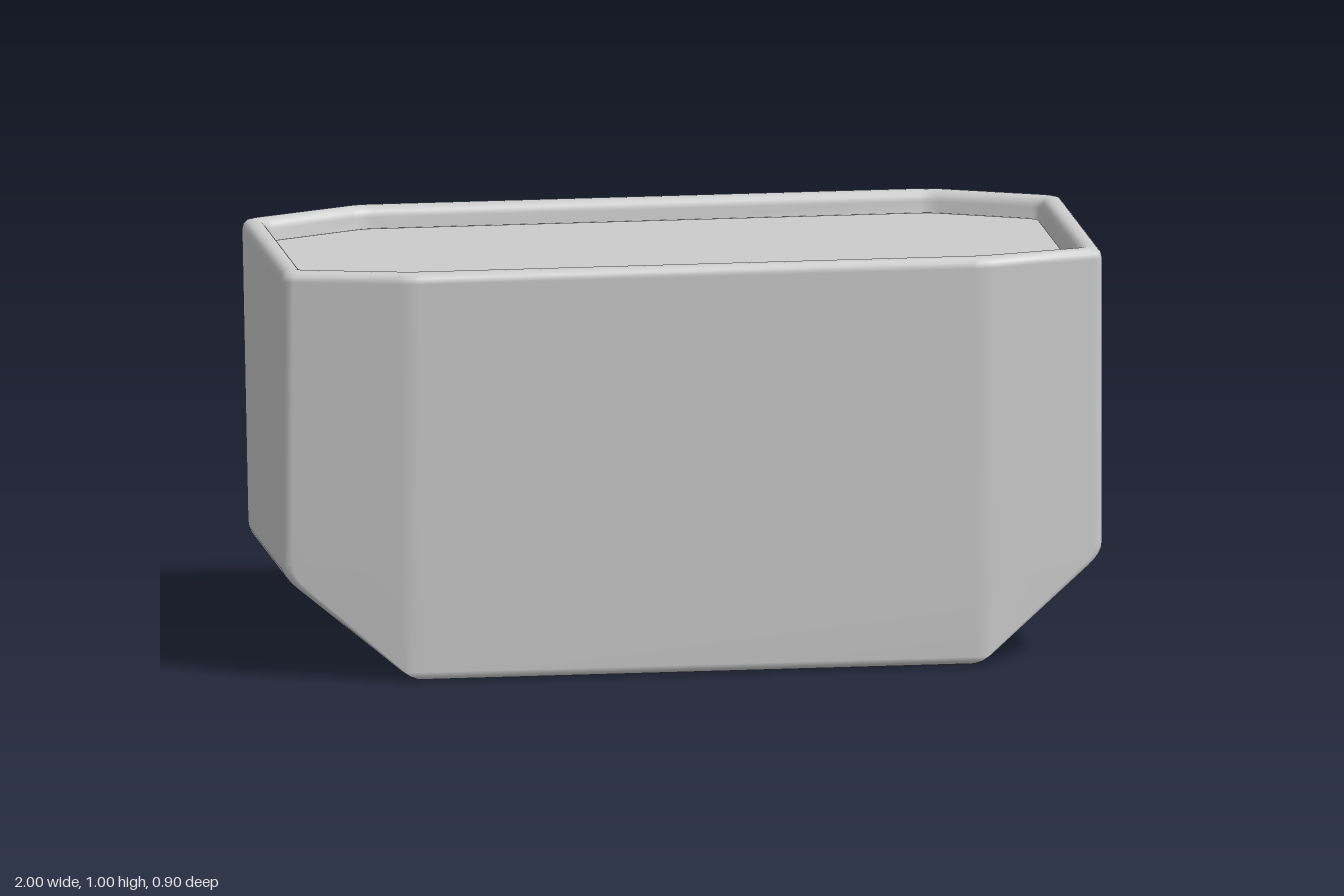
import * as THREE from 'three';

// Half width at height y: sloped underside ends, softly blended into upright ends
function halfWidth(y) {
  if (y > 0.28) return 1;
  if (y > 0.22) return 1 - 10.33 * (0.28 - y) ** 2;
  return 0.69 + 1.24 * y;
}

// Eight plan corners at height y, moved inward by inset, running from front left round to the back
function corners(y, inset) {
  const w = halfWidth(y) - inset;
  const front = 0.45, frontSide = 0.375;
  const back = -0.35 - 0.105 * y, backSide = -0.177 - 0.141 * y;
  const kf = (front - frontSide) / 0.3, kb = (backSide - back) / 0.3;
  const xc = Math.min(0.7 - 0.15 * inset, w - 0.012);
  const zf = Math.min(front - inset, front - kf * (w - 0.7) - inset * Math.hypot(1, kf));
  const zb = Math.max(back + inset, back + kb * (w - 0.7) + inset * Math.hypot(1, kb));
  const half = [[xc, front - inset], [w, zf], [w, zb], [xc, back + inset]];
  const other = half.map(([x, z]) => [-x, z]).reverse();
  return [...half, ...other].map(([x, z]) => new THREE.Vector2(x, z));
}

// Plan outline with rounded corners
function ring(y, inset) {
  const p = corners(y, inset), n = p.length, out = [];
  const steps = 4, radius = 0.025;
  for (let i = 0; i < n; i++) {
    const c = p[i];
    const ends = [p[(i + n - 1) % n], p[(i + 1) % n]].map((q) => {
      const d = c.distanceTo(q);
      return c.clone().lerp(q, Math.min(radius / d, 0.45));
    });
    const curve = new THREE.QuadraticBezierCurve(ends[0], c, ends[1]);
    for (const q of curve.getPoints(steps)) out.push([q.x, y, q.y]);
  }
  return out;
}

// Skin a list of [height, inset] levels, closing the start and/or end
function loft(levels, capStart, capEnd) {
  const rings = levels.map(([y, inset]) => ring(y, inset));
  const n = rings[0].length, pos = rings.flat(2), index = [];
  for (let j = 0; j < rings.length - 1; j++) {
    for (let i = 0; i < n; i++) {
      const k = (i + 1) % n;
      const a = j * n + i, b = j * n + k, c = b + n, d = a + n;
      index.push(a, b, c, a, c, d);
    }
  }
  const cap = (j, flip) => {
    const centre = pos.length / 3;
    pos.push(0, levels[j][0], 0);
    for (let i = 0; i < n; i++) {
      const a = j * n + i, b = j * n + (i + 1) % n;
      index.push(centre, flip ? b : a, flip ? a : b);
    }
  };
  if (capStart) cap(0, true);
  if (capEnd) cap(rings.length - 1, false);
  const g = new THREE.BufferGeometry();
  g.setAttribute('position', new THREE.Float32BufferAttribute(pos, 3));
  g.setIndex(index);
  g.computeVertexNormals();
  return g;
}

export function createModel() {
  const group = new THREE.Group();
  const material = new THREE.MeshStandardMaterial({ color: 0xcccccc });
  const add = (name, geometry) => {
    const mesh = new THREE.Mesh(geometry, material);
    mesh.name = name;
    group.add(mesh);
  };

  // Tub wall: rounded base edge, sloped ends, rounded rim, shallow recess
  add('tub', loft([
    [0, 0.022], [0.003, 0.012], [0.01, 0.004], [0.022, 0],
    [0.22, 0], [0.235, 0], [0.25, 0], [0.265, 0], [0.28, 0],
    [0.975, 0], [0.988, 0.003], [0.997, 0.011], [1, 0.022],
    [1, 0.034], [0.997, 0.044], [0.988, 0.052], [0.975, 0.055],
    [0.92, 0.055], [0.919, 0.06],
  ], true, true));

  // Panel lying in the recess, with a narrow groove around it
  add('topPanel', loft([[0.92, 0.064], [0.947, 0.064], [0.95, 0.067], [0.95, 0.07]], false, true));
  return group;
}
